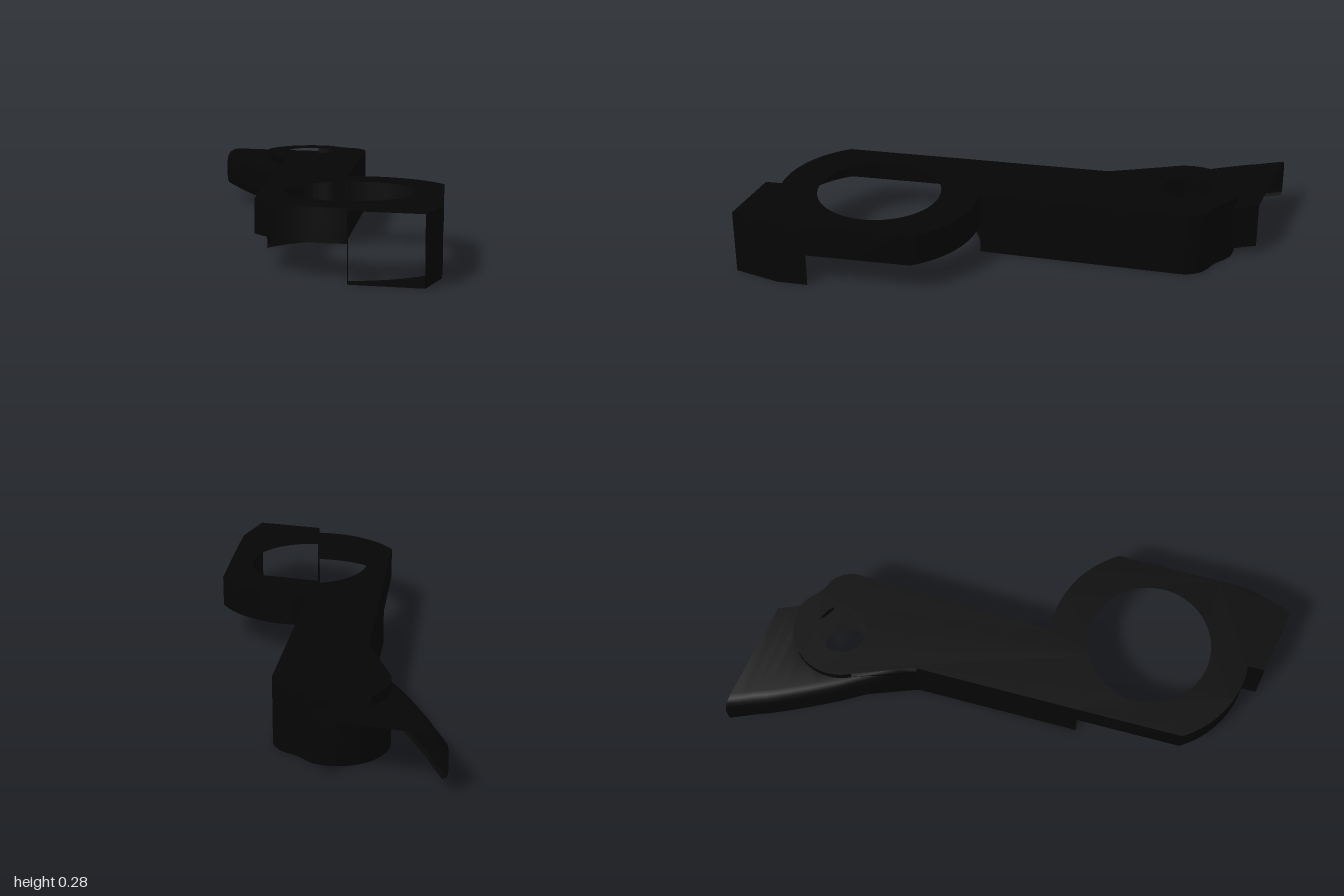
import * as THREE from 'three';
import { toCreasedNormals } from 'three/addons/utils/BufferGeometryUtils.js';

const RING = [0.287, 0.515];
const PIVOT = [-0.197, -0.697];
const RING_R = 0.425;
const BOSS_R = 0.208;
const TOP = 0.275, TAIL_TOP = 0.235, RING_BOTTOM = 0.14;

const material = new THREE.MeshStandardMaterial({ color: 0x050505, side: THREE.DoubleSide });

// Points [x, z] on an arc; angles in degrees, 0 = +x and 90 = back (-z)
function arc([cx, cz], r, from, to, n = 24) {
  return Array.from({ length: n + 1 }, (_, i) => {
    const a = THREE.MathUtils.degToRad(from + (to - from) * i / n);
    return [cx + r * Math.cos(a), cz - r * Math.sin(a)];
  });
}

// Arc of the ring's rim between two [x, z] points
function rimArc(from, to) {
  const angle = ([x, z]) => THREE.MathUtils.radToDeg(Math.atan2(RING[1] - z, x - RING[0]));
  return arc(RING, RING_R, angle(from), angle(to));
}

function named(name, geo) {
  const mesh = new THREE.Mesh(geo, material);
  mesh.name = name;
  return mesh;
}

// Flat sheet at height y from a plan outline and round holes
function sheet(name, points, y, holes = []) {
  const toVec = ([x, z]) => new THREE.Vector2(x, -z);
  const shape = new THREE.Shape(points.map(toVec));
  for (const [c, r] of holes) shape.holes.push(new THREE.Path(arc(c, r, 0, 354, 59).map(toVec)));
  return named(name, new THREE.ShapeGeometry(shape).rotateX(-Math.PI / 2).translate(0, y, 0));
}

// Open skin joining a list of equal-length cross-sections
function skin(name, sections) {
  const n = sections[0].length, index = [];
  for (let i = 0; i < sections.length - 1; i++) {
    for (let j = 0; j < n - 1; j++) {
      const a = i * n + j, b = a + n;
      index.push(a, b, a + 1, b, b + 1, a + 1);
    }
  }
  const geo = new THREE.BufferGeometry();
  geo.setAttribute('position', new THREE.Float32BufferAttribute(sections.flat(2), 3));
  geo.setIndex(index);
  geo.computeVertexNormals();
  return named(name, toCreasedNormals(geo, 0.6));
}

// Upright wall along a plan path
const wall = (name, path, y0, y1) => skin(name, path.map(([x, z]) => [[x, y0, z], [x, y1, z]]));

function group(name, ...parts) {
  const g = new THREE.Group();
  g.name = name;
  return g.add(...parts);
}

export function createModel() {
  // Plan paths, running round the outline
  const armLeft = [[-0.225, -0.333], [-0.106, 0.36]];
  const tailSide = [[-0.225, -0.333], [-0.267, -0.407]];
  const bossOuter = arc(PIVOT, BOSS_R, 217, 143);
  const bossBack = arc(PIVOT, BOSS_R, 143, 95);
  const armRight = [
    ...arc(PIVOT, BOSS_R, 95, 80, 4),
    [-0.125, -0.885], [-0.087, -0.86], [-0.055, -0.847], [-0.024, -0.84],
    [0.005, -0.825], [0.03, -0.8], [0.046, -0.775], [0.055, -0.745], [0.17, 0.105],
  ];
  const ringBack = [...rimArc([0.17, 0.105], [0.61, 0.235]), [0.683, 0.67]];
  const footLeft = [[0.683, 0.67], [0.703, 0.8], [0.678, 1]];
  const footRight = [[0.385, 1], [0.372, 0.93]];
  const ringFront = [...rimArc([0.372, 0.93], [-0.03, 0.8]), [-0.106, 0.36]];
  const pivotEnd = [...tailSide, ...bossOuter, ...bossBack.slice(1), ...armRight.slice(1)];
  const pivotHole = [PIVOT, 0.104];

  // Top skin over arm, ring and foot
  const topSkin = sheet('topSkin', [
    ...pivotEnd, ...ringBack.slice(1), ...footLeft.slice(1), ...footRight, ...ringFront.slice(1),
  ], TOP, [pivotHole, [RING, 0.261]]);

  // Arm shell, open towards the ring
  const arm = group('arm',
    wall('armLeftWall', armLeft, 0, TOP),
    wall('armRightWall', armRight, 0, TOP),
    sheet('armFloor', [...pivotEnd, ...rimArc([0.17, 0.105], [-0.106, 0.36])], 0, [pivotHole]));

  // Pivot boss walls
  const boss = group('pivotBoss',
    wall('bossWall', [...tailSide, ...bossOuter, ...bossBack.slice(1)], 0, TAIL_TOP),
    wall('bossUpperWall', bossOuter, TAIL_TOP, TOP));

  // Ring skirt, open below
  const ring = group('ring',
    wall('ringBackWall', ringBack, RING_BOTTOM, TOP),
    wall('ringFrontWall', ringFront, RING_BOTTOM, TOP));

  // Foot: floor and two side walls, open at front and back
  const foot = group('foot',
    wall('footLeftWall', footLeft, 0, TOP),
    wall('footRightWall', footRight, 0, TOP),
    sheet('footFloor', [...footLeft, ...footRight, ...rimArc([0.372, 0.93], [0.683, 0.67])], 0));

  // Tail: thin shell with rounded outer edge, open below and behind
  const tailPlan = [ // left x, right x, z
    [-0.706, -0.217, -1], [-0.675, -0.187, -0.95], [-0.645, -0.155, -0.905], [-0.62, -0.33, -0.86],
    [-0.58, -0.38, -0.8], [-0.51, -0.4, -0.7], [-0.435, -0.36, -0.6], [-0.392, -0.325, -0.55],
    [-0.35, -0.28, -0.5], [-0.267, -0.2, -0.407], [-0.225, -0.16, -0.333],
  ];
  const rim = [[0.022, 0.057], [0.006, 0.066], [0, 0.085], [0, 0.175],
    [0.005, 0.2], [0.018, 0.219], [0.037, 0.231], [0.06, TAIL_TOP]];
  const tail = group('tail',
    skin('tailShell', tailPlan.map(([left, right, z]) => [
      ...rim.map(([dx, y]) => [left + dx, y, z]), [right, TAIL_TOP, z],
    ])),
    wall('tailRightWall', tailPlan.slice(0, 3).map(([, right, z]) => [right, z]), 0.043, TAIL_TOP));

  return group('leverArm', topSkin, arm, boss, ring, foot, tail);
}
